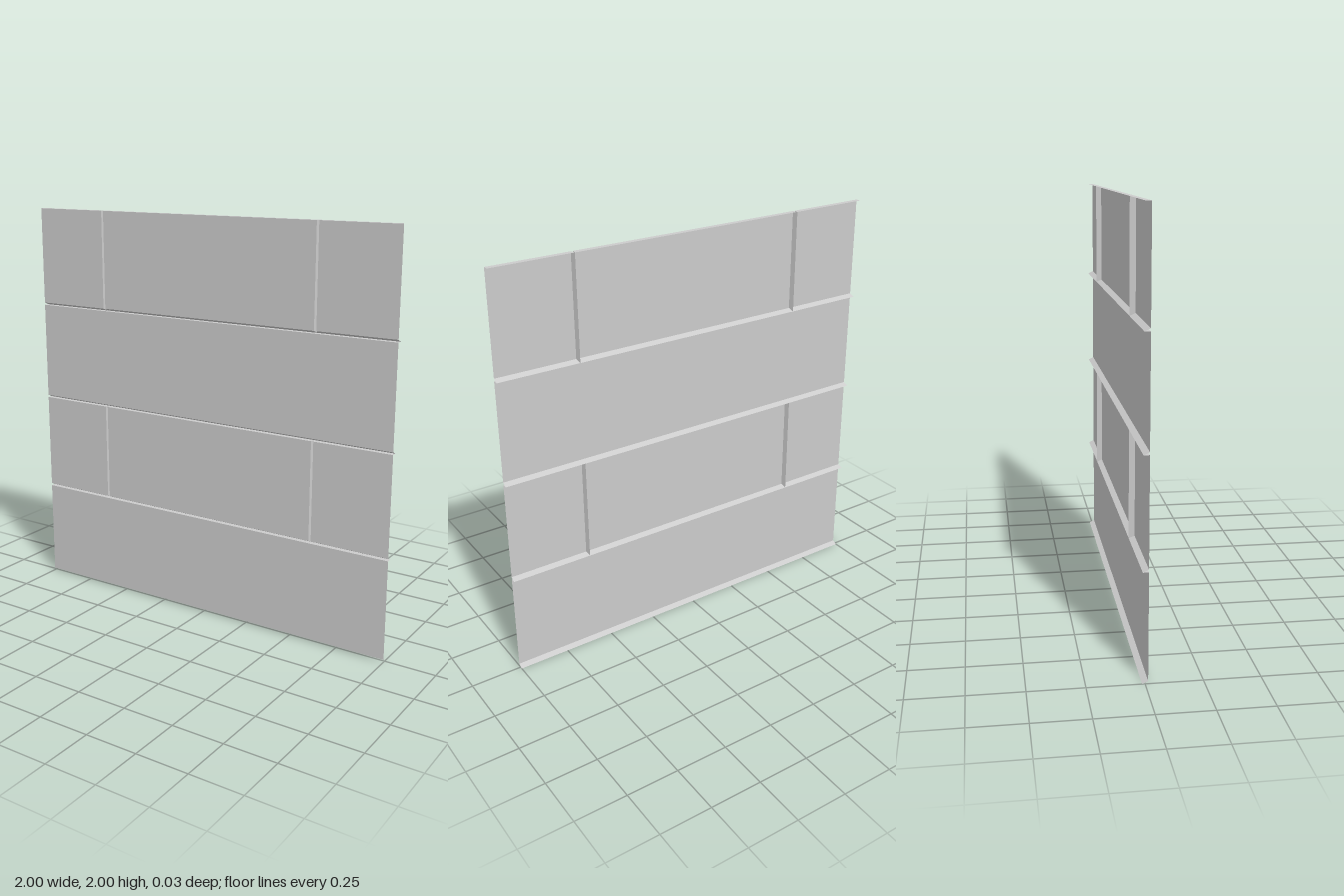
import * as THREE from 'three';

const DEPTH = 0.013;   // half the panel thickness
const SLOPE = 0.012;   // drop of the sloped lower lip
const V = 0.006;       // half the width of a vertical joint
const ROW = 0.5;

const material = new THREE.MeshStandardMaterial({ color: 0xcccccc, flatShading: true, side: THREE.DoubleSide });

// Open-backed plank: front face with lips folded back; side lips only at joints
function plank(name, x0, x1, y0, jointLeft, jointRight) {
  const y1 = y0 + ROW;
  const f0 = x0 + (jointLeft ? V : 0), f1 = x1 - (jointRight ? V : 0);
  const front = [[f0, y0 + SLOPE, DEPTH], [f1, y0 + SLOPE, DEPTH], [f1, y1, DEPTH], [f0, y1, DEPTH]];
  const back = [[x0, y0, -DEPTH], [x1, y0, -DEPTH], [x1, y1, -DEPTH], [x0, y1, -DEPTH]];
  const lips = [true, jointRight, true, jointLeft]; // bottom, right, top, left
  const pos = [];
  const quad = (a, b, c, d) => pos.push(...a, ...b, ...c, ...a, ...c, ...d);
  quad(...front);
  lips.forEach((on, i) => {
    const j = (i + 1) % 4;
    if (on) quad(front[j], front[i], back[i], back[j]);
  });
  const geo = new THREE.BufferGeometry();
  geo.setAttribute('position', new THREE.Float32BufferAttribute(pos, 3));
  geo.computeVertexNormals();
  const mesh = new THREE.Mesh(geo, material);
  mesh.name = name;
  return mesh;
}

export function createModel() {
  const group = new THREE.Group();
  group.name = 'wallPanel';
  // Alternating rows: one full plank, then a row split by two vertical joints
  for (let r = 0; r < 4; r++) {
    const cuts = r % 2 ? [-1, -0.6, 0.6, 1] : [-1, 1];
    const row = new THREE.Group();
    row.name = `plankRow${r + 1}`;
    for (let i = 0; i < cuts.length - 1; i++) {
      row.add(plank(`plank${i + 1}`, cuts[i], cuts[i + 1], r * ROW, i > 0, i < cuts.length - 2));
    }
    group.add(row);
  }
  return group;
}
